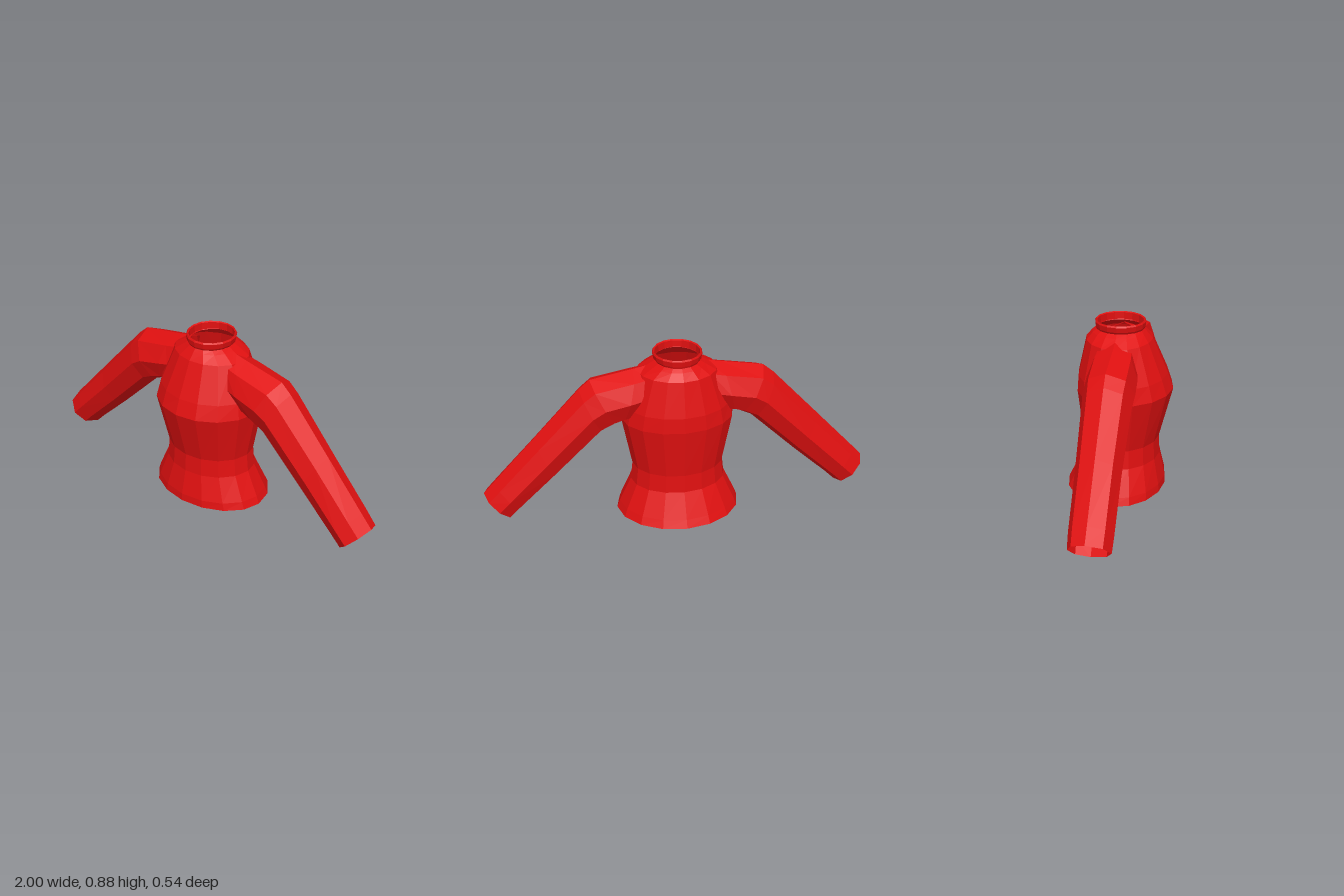
import * as THREE from 'three';

// Joins equal-length rings of points into an open faceted skin.
function loft(rings) {
  const pos = [], idx = [], n = rings[0].length;
  rings.forEach(r => r.forEach(p => pos.push(...p)));
  for (let i = 0; i < rings.length - 1; i++) {
    for (let j = 0; j < n; j++) {
      const k = (j + 1) % n, a = i * n, b = a + n;
      idx.push(a + j, a + k, b + k, a + j, b + k, b + j);
    }
  }
  const g = new THREE.BufferGeometry();
  g.setAttribute('position', new THREE.Float32BufferAttribute(pos, 3));
  g.setIndex(idx);
  const flat = g.toNonIndexed();
  flat.computeVertexNormals();
  return flat;
}

const angles = n => Array.from({ length: n }, (_, j) => (j / n) * Math.PI * 2);

// Horizontal ring: height, half width, front z, back z.
const bodyRing = ([y, w, front, back]) => angles(16).map(a => {
  const c = Math.cos(a);
  return [w * Math.sin(a), y, c > 0 ? c * front : -c * back];
});

// Sleeve ring: top x, y, bottom x, y, front z, back z.
const sleeveRing = side => ([tx, ty, bx, by, front, back]) => {
  const ring = angles(8).map(a => {
    const c = Math.cos(a), s = Math.sin(a);
    return [
      side * ((tx + bx) / 2 + c * (tx - bx) / 2),
      (ty + by) / 2 + c * (ty - by) / 2,
      s > 0 ? s * front : -s * back,
    ];
  });
  return side > 0 ? ring : ring.reverse();
};

export function createModel() {
  const group = new THREE.Group();
  const red = new THREE.MeshStandardMaterial({ color: 0xe01010, flatShading: true, side: THREE.DoubleSide });
  red.name = 'red cloth';
  const add = (name, rings) => {
    const mesh = new THREE.Mesh(loft(rings), red);
    mesh.name = name;
    group.add(mesh);
  };

  // Torso from the flared hem to the shoulder yoke
  add('torso', [
    [0, 0.32, 0.235, -0.27],
    [0.04, 0.305, 0.233, -0.25],
    [0.17, 0.245, 0.205, -0.19],
    [0.265, 0.235, 0.2, -0.185],
    [0.53, 0.287, 0.27, -0.215],
    [0.61, 0.27, 0.243, -0.21],
    [0.79, 0.2, 0.165, -0.17],
    [0.825, 0.14, 0.135, -0.14],
    [0.84, 0.113, 0.122, -0.12],
  ].map(bodyRing));

  // Standing collar with a folded inner edge
  add('collar', [
    [0.84, 0.113, 0.122, -0.12],
    [0.85, 0.12, 0.127, -0.123],
    [0.876, 0.125, 0.13, -0.126],
    [0.884, 0.12, 0.125, -0.121],
    [0.88, 0.113, 0.117, -0.115],
    [0.845, 0.112, 0.115, -0.114],
  ].map(bodyRing));

  // Sleeves from the neck side, over the shoulder, down to the open cuff
  const sleeve = [
    [0.13, 0.82, 0.27, 0.53, 0.115, -0.118],
    [0.22, 0.802, 0.287, 0.53, 0.125, -0.125],
    [0.44, 0.762, 0.315, 0.515, 0.132, -0.12],
    [0.495, 0.715, 0.385, 0.482, 0.125, -0.115],
    [0.73, 0.462, 0.62, 0.255, 0.113, -0.105],
    [0.94, 0.235, 0.81, 0.08, 0.112, -0.1],
    [1, 0.17, 0.86, 0.03, 0.11, -0.095],
  ];
  add('leftSleeve', sleeve.map(sleeveRing(1)));
  add('rightSleeve', sleeve.map(sleeveRing(-1)));

  return group;
}
